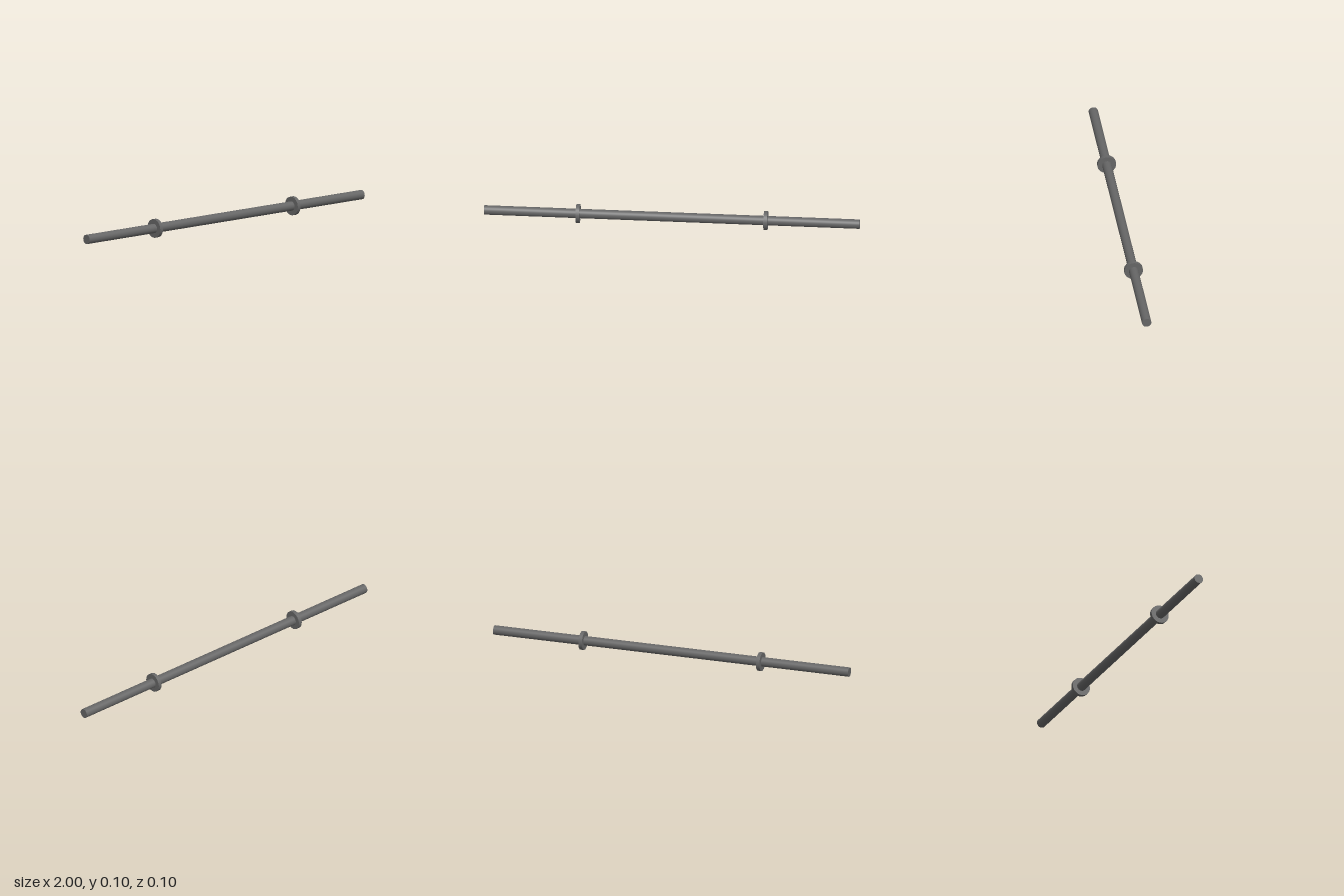
import * as THREE from 'three';

const AXIS_Y = 0.05;

export function createModel() {
  const model = new THREE.Group();
  const material = new THREE.MeshStandardMaterial({ color: 0x666666 });

  // Round solid lying along x
  function addRod(name, radius, length, x) {
    const geometry = new THREE.CylinderGeometry(radius, radius, length, 32);
    geometry.rotateZ(Math.PI / 2);
    const mesh = new THREE.Mesh(geometry, material);
    mesh.name = name;
    mesh.position.set(x, AXIS_Y, 0);
    model.add(mesh);
  }

  // Long straight bar
  addRod('bar', 0.025, 2, 0);

  // Collars halfway out on each side
  addRod('leftCollar', 0.05, 0.02, 0.5);
  addRod('rightCollar', 0.05, 0.02, -0.5);

  return model;
}
